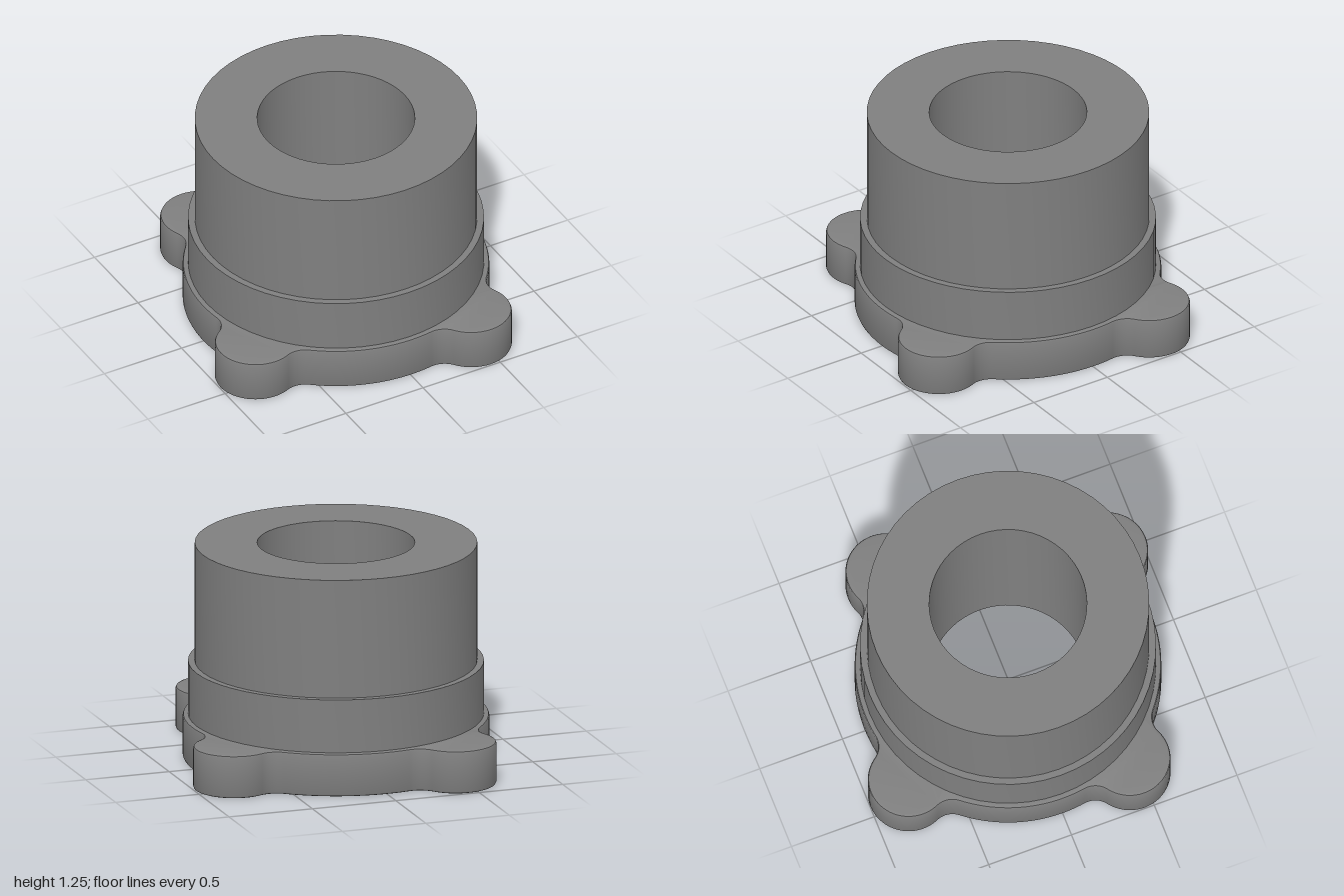
import * as THREE from 'three';
import { toCreasedNormals } from 'three/addons/utils/BufferGeometryUtils.js';

const DISC_R = 0.865, LOBE_R = 0.23, LOBE_D = 0.887, FILLET_R = 0.12;
const BORE_R = 0.445;

// Disc outline with four rounded lugs, blended in with concave fillets
function flangeShape() {
  const shape = new THREE.Shape();
  const reach = DISC_R + FILLET_R, gap = LOBE_R + FILLET_R;
  const a = Math.acos((reach ** 2 + LOBE_D ** 2 - gap ** 2) / (2 * reach * LOBE_D));
  // Direction from lug centre to fillet centre, relative to the lug axis
  const b = Math.atan2(reach * Math.sin(a), reach * Math.cos(a) - LOBE_D);
  const first = THREE.MathUtils.degToRad(29.8);
  for (let i = 0; i < 4; i++) {
    const t = first + i * Math.PI / 2;
    const at = (d, ang) => [d * Math.cos(ang), d * Math.sin(ang)];
    shape.absarc(0, 0, DISC_R, t - Math.PI / 2 + a, t - a, false);
    shape.absarc(...at(reach, t - a), FILLET_R, t - a + Math.PI, t - b + Math.PI, true);
    shape.absarc(...at(LOBE_D, t), LOBE_R, t - b, t + b, false);
    shape.absarc(...at(reach, t + a), FILLET_R, t + b + Math.PI, t + a + Math.PI, true);
  }
  // Clearance for the sleeve, whose bottom rim covers this edge
  const hole = new THREE.Path();
  hole.absarc(0, 0, 0.5, 0, Math.PI * 2, true);
  shape.holes.push(hole);
  return shape;
}

export function createModel() {
  const group = new THREE.Group();
  const grey = new THREE.MeshStandardMaterial({ color: 0x7f7f7f });
  grey.name = 'grey';

  const add = (name, geometry) => {
    const mesh = new THREE.Mesh(toCreasedNormals(geometry, 0.5), grey);
    mesh.name = name;
    group.add(mesh);
  };

  // Lugged base flange with softly bevelled edges
  const bevel = 0.015;
  const flange = new THREE.ExtrudeGeometry(flangeShape(), {
    depth: 0.25 - 2 * bevel, bevelEnabled: true, bevelThickness: bevel,
    bevelSize: bevel, bevelOffset: -bevel, bevelSegments: 2, curveSegments: 14,
  });
  flange.rotateX(-Math.PI / 2);
  flange.translate(0, bevel, 0);
  add('flange', flange);

  // Stepped sleeve: wide collar, upper cylinder, through bore and bottom rim
  const profile = [
    [0.835, 0.23], [0.835, 0.56], [0.797, 0.56], [0.797, 1.25],
    [BORE_R, 1.25], [BORE_R, 0], [0.53, 0],
  ].map(([r, y]) => new THREE.Vector2(r, y));
  add('sleeve', new THREE.LatheGeometry(profile, 56));

  return group;
}
